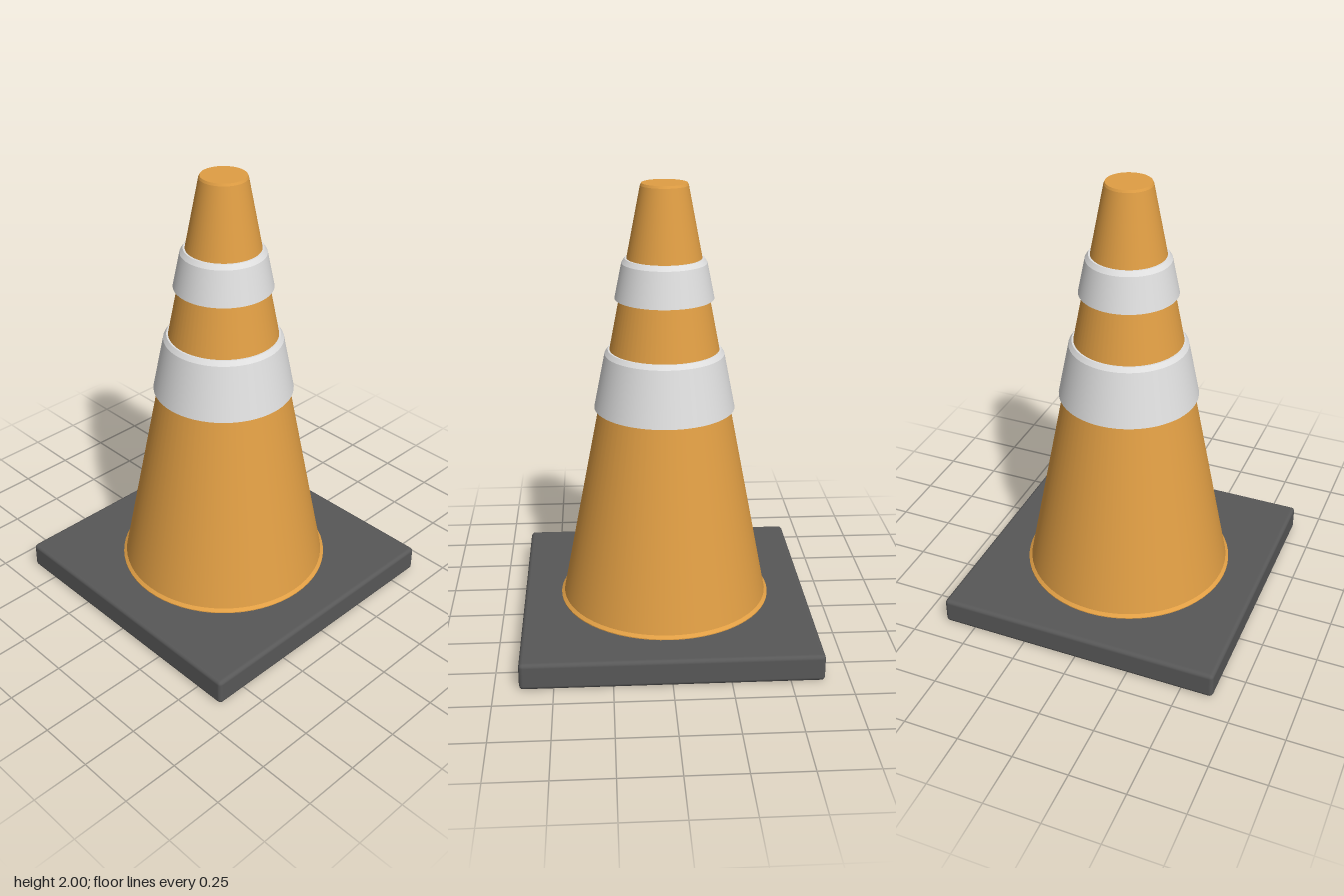
import * as THREE from 'three';
import { RoundedBoxGeometry } from 'three/addons/geometries/RoundedBoxGeometry.js';

const material = (name, color) => {
  const m = new THREE.MeshStandardMaterial({ color });
  m.name = name;
  return m;
};

// Cone wall radius at a given height
const BOTTOM = 0.11, TOP = 2;
const coneRadius = (y) => THREE.MathUtils.lerp(0.467, 0.1, (y - BOTTOM) / (TOP - BOTTOM));

// Revolve a profile, doubling inner points so that its edges stay sharp
function sharpLathe(profile) {
  const points = profile.flatMap(([r, y], i) => {
    const copies = i > 0 && i < profile.length - 1 ? 2 : 1;
    return Array.from({ length: copies }, () => new THREE.Vector2(r, y));
  });
  return new THREE.LatheGeometry(points, 64);
}

export function createModel() {
  const group = new THREE.Group();
  group.name = 'trafficCone';
  const orange = material('orange plastic', 0xe09e44);
  const white = material('reflective white', 0xe0e0e0);
  const grey = material('dark rubber', 0x585858);

  const add = (name, geometry, mat) => {
    const mesh = new THREE.Mesh(geometry, mat);
    mesh.name = name;
    group.add(mesh);
    return mesh;
  };

  // Square foot with softened edges
  add('base', new RoundedBoxGeometry(1.29, 0.12, 1.29, 2, 0.018), grey).position.y = 0.06;

  // Tapered body with a slight lip at the foot and a flat, closed top
  add('coneBody', sharpLathe([
    [0.476, BOTTOM],
    [0.476, 0.124],
    [coneRadius(0.135), 0.135],
    [coneRadius(1.99), 1.99],
    [0.097, TOP],
    [0, TOP],
  ]), orange);

  // Raised bands following the taper, with bevelled top edges
  const bands = [['lowerBand', 1.015, 1.285], ['upperBand', 1.505, 1.685]];
  for (const [name, y0, y1] of bands) {
    const offset = 0.018;
    add(name, sharpLathe([
      [coneRadius(y0) - 0.005, y0],
      [coneRadius(y0) + offset, y0 + 0.006],
      [coneRadius(y1 - 0.02) + offset, y1 - 0.02],
      [coneRadius(y1) + 0.008, y1],
      [coneRadius(y1) - 0.005, y1],
    ]), white);
  }

  return group;
}
